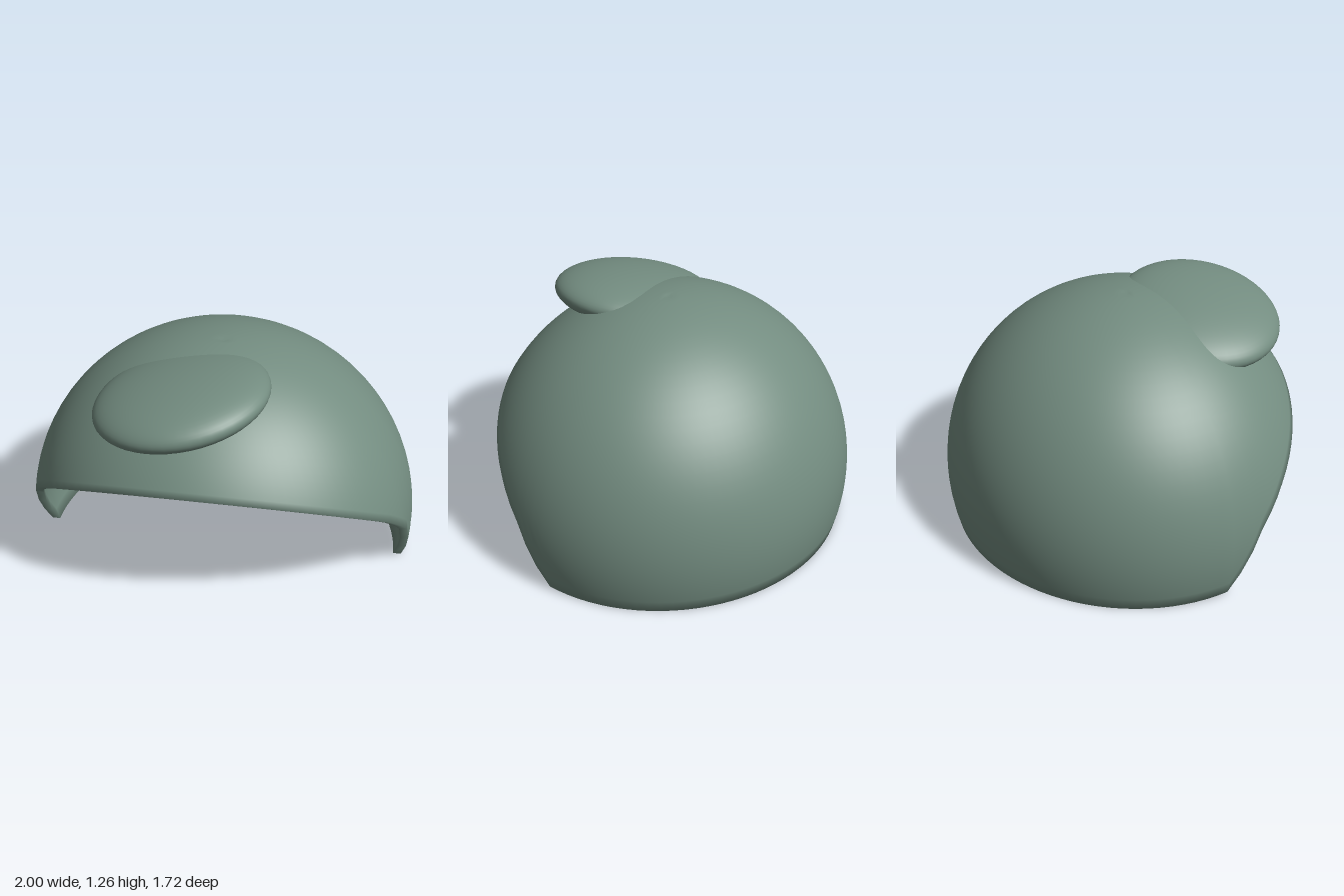
import * as THREE from 'three';
import { mergeVertices } from 'three/addons/utils/BufferGeometryUtils.js';

const CENTER = new THREE.Vector3(0, 0.26, 0.09);
const RADII = new THREE.Vector3(1, 0.99, 0.95);
const WALL = 0.04;

// Side profile of the face opening: [y, z]
const OPENING = [[0, 0.09], [0.33, 0.275], [0.49, 0.44], [0.84, 0.86], [1.4, 1.55]];

function openingZ(y) {
  for (let i = 1; i < OPENING.length; i++) {
    const [y0, z0] = OPENING[i - 1], [y1, z1] = OPENING[i];
    if (y <= y1) return z0 + (z1 - z0) * (y - y0) / (y1 - y0);
  }
  return Infinity;
}

// Point on the ellipsoid, shrunk by inset
function domePoint(theta, phi, inset) {
  return new THREE.Vector3(
    CENTER.x + (RADII.x - inset) * Math.sin(theta) * Math.sin(phi),
    CENTER.y + (RADII.y - inset) * Math.cos(theta),
    CENTER.z + (RADII.z - inset) * Math.sin(theta) * Math.cos(phi));
}

// Angle from the crown at which a meridian meets the opening or the base
function rimAngle(phi, inset) {
  let lo = 0, hi = Math.PI * 0.7;
  for (let k = 0; k < 40; k++) {
    const mid = (lo + hi) / 2, p = domePoint(mid, phi, inset);
    if (p.y >= 0 && p.z <= openingZ(p.y)) lo = mid; else hi = mid;
  }
  return lo;
}

// Closed shell: outer meridians down to the rim, then inner ones back up
function shellGeometry(columns = 96, rows = 26) {
  const positions = [], index = [];
  const steps = [0, 0.012];
  for (let i = 1; i <= rows; i++) steps.push(i / rows);
  const total = steps.length * 2;
  for (let r = 0; r < total; r++) {
    const inner = r >= steps.length;
    const t = inner ? steps[total - 1 - r] : steps[r];
    const inset = inner ? WALL : 0;
    for (let c = 0; c < columns; c++) {
      const phi = (c / columns) * Math.PI * 2;
      const p = domePoint(t * rimAngle(phi, inset), phi, inset);
      if (t === 0) p.y -= 0.012; // crown dimple
      positions.push(p.x, p.y, p.z);
    }
  }
  for (let r = 0; r < total - 1; r++) {
    for (let c = 0; c < columns; c++) {
      const n = (c + 1) % columns;
      const a = r * columns + c, b = a + columns;
      const d = r * columns + n, e = d + columns;
      if (r < total - 2) index.push(a, b, e);
      if (r > 0) index.push(a, e, d);
    }
  }
  const geometry = new THREE.BufferGeometry();
  geometry.setAttribute('position', new THREE.Float32BufferAttribute(positions, 3));
  geometry.setIndex(index);
  const merged = mergeVertices(geometry, 1e-5);
  merged.computeVertexNormals();
  return merged;
}

export function createModel() {
  const group = new THREE.Group();
  group.name = 'cap';
  const material = new THREE.MeshStandardMaterial({ color: 0x738c80 });

  const shell = new THREE.Mesh(shellGeometry(), material);
  shell.name = 'shell';
  group.add(shell);

  // Tilted peak: a flattened ellipsoid sunk into the dome
  const peak = new THREE.Mesh(new THREE.SphereGeometry(1, 48, 32), material);
  peak.name = 'peak';
  peak.scale.set(0.438, 0.132, 0.415);
  peak.rotation.z = 0.2;
  peak.position.set(-0.15, 1.108, 0.425);
  group.add(peak);

  return group;
}
